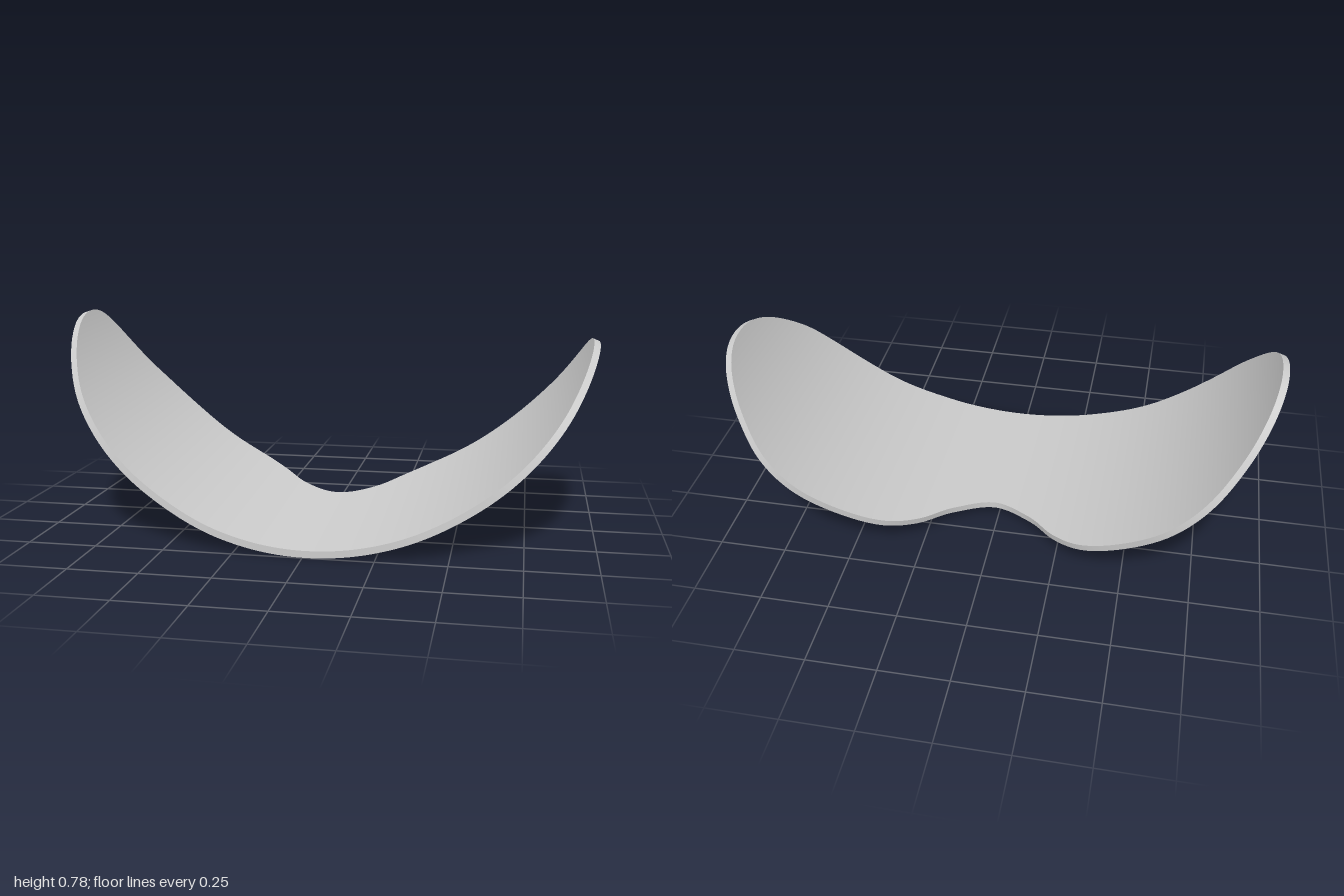
import * as THREE from 'three';
import { ParametricGeometry } from 'three/addons/geometries/ParametricGeometry.js';

const RADIUS = 1.067;     // outer radius of the bent shell
const THICKNESS = 0.025;
const CENTRE_X = 0.014;
const TILT = 0.053;       // rise of the shell towards the back
const TIP = 67.7;         // angle of the left tip in degrees

// Half outline: angle from the lowest line, front z, back z
const COLUMNS = [
  [0, 0.497, -0.155], [8, 0.494, -0.23], [14, 0.487, -0.345], [20, 0.477, -0.42],
  [30, 0.447, -0.472], [40, 0.418, -0.498], [48, 0.375, -0.475], [55, 0.308, -0.41],
  [60.5, 0.21, -0.342], [64.7, 0.1, -0.265], [67, 0.0, -0.185],
];

// Closed outline on the unrolled sheet (x = arc length, z = depth)
function makeOutline() {
  const point = (side, deg, z) => {
    const stretch = side < 0 ? 1 + 0.064 * (deg / TIP) ** 4 : 1; // right wing is a little longer
    return new THREE.Vector3(side * RADIUS * THREE.MathUtils.degToRad(deg * stretch), 0, z);
  };
  const rightToLeft = (k) => [
    ...COLUMNS.slice(1).reverse().map((c) => point(-1, c[0], c[k])),
    ...COLUMNS.map((c) => point(1, c[0], c[k])),
  ];
  const points = [
    point(-1, TIP, -0.095), ...rightToLeft(1),
    point(1, TIP, -0.095), ...rightToLeft(2).reverse(),
  ];
  return new THREE.CatmullRomCurve3(points, true, 'centripetal');
}

// Rolls a sheet point onto the tilted cylinder, at a given depth in the shell
function bend(p, depth, target) {
  const angle = p.x / RADIUS;
  const r = RADIUS - depth;
  target.set(
    CENTRE_X + r * Math.sin(angle),
    RADIUS - r * Math.cos(angle) + TILT * (0.497 - p.z),
    p.z
  );
}

export function createModel() {
  const group = new THREE.Group();
  group.name = 'curvedShell';
  const material = new THREE.MeshStandardMaterial({ color: 0xcccccc, side: THREE.DoubleSide });
  const outline = makeOutline();

  const add = (name, surface, slices, stacks) => {
    const geometry = new ParametricGeometry(surface, slices, stacks);
    geometry.computeVertexNormals();
    const mesh = new THREE.Mesh(geometry, material);
    mesh.name = name;
    group.add(mesh);
  };

  // Sheet between the front and back halves of the outline
  const sheet = (depth, flip) => (u, v, target) => {
    const front = outline.getPoint(u / 2);
    const back = outline.getPoint(1 - u / 2);
    bend(front.lerp(back, flip ? 1 - v : v), depth, target);
  };
  add('innerFace', sheet(THICKNESS, false), 132, 20);
  add('outerFace', sheet(0, true), 132, 20);

  // Narrow band closing the edge all round
  add('rim', (u, v, target) => bend(outline.getPoint(u), v * THICKNESS, target), 264, 1);

  return group;
}
